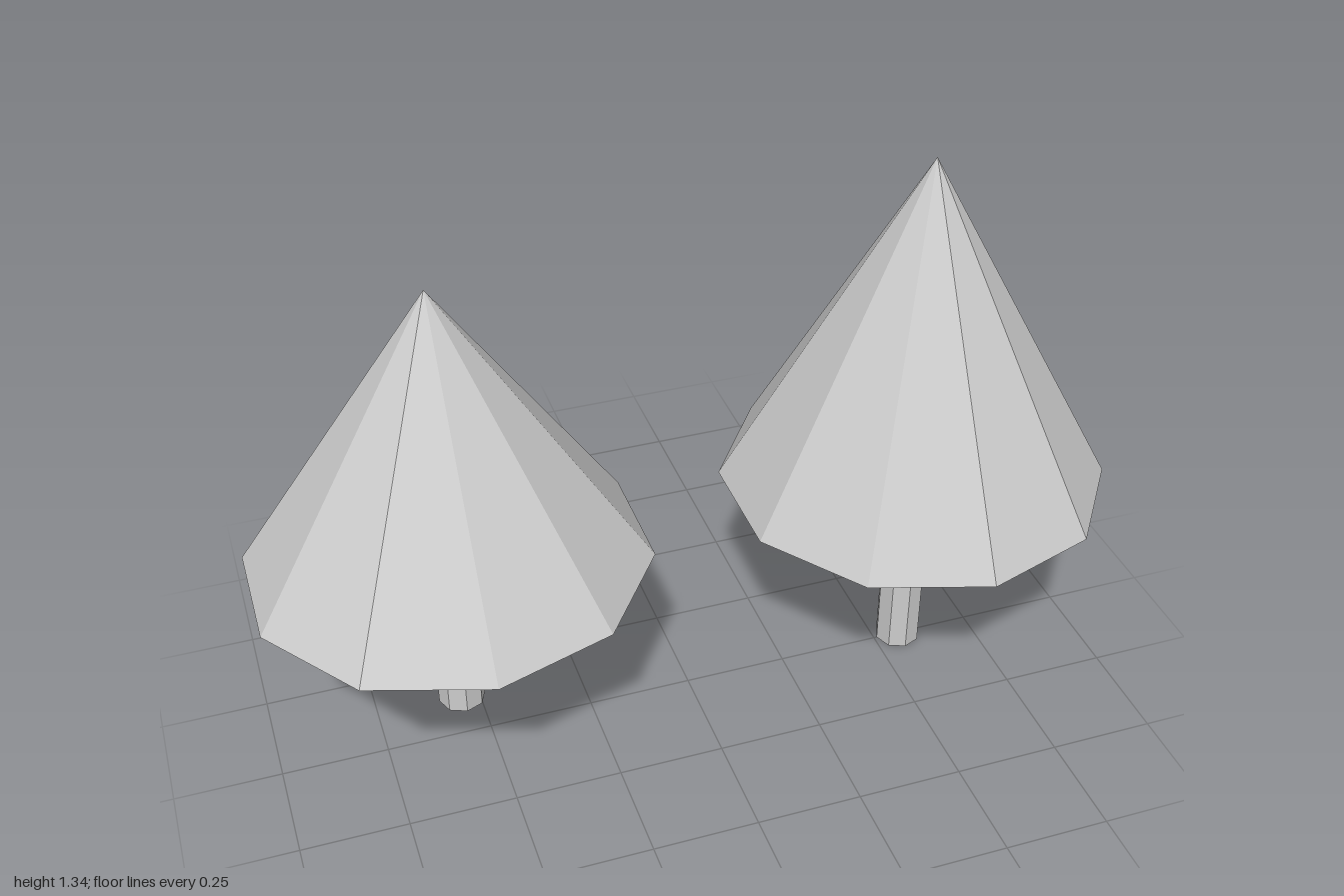
import * as THREE from 'three';

const material = new THREE.MeshStandardMaterial({ color: 0xcccccc, flatShading: true });

// One tree: eight-sided trunk under a ten-sided cone of foliage
function makeTree(name, x, base, eaves, top) {
  const tree = new THREE.Group();
  tree.name = name;

  const trunkHeight = eaves - base;
  const trunk = new THREE.Mesh(new THREE.CylinderGeometry(0.055, 0.055, trunkHeight, 8), material);
  trunk.name = 'trunk';
  trunk.position.y = base + trunkHeight / 2;

  const foliageHeight = top - eaves;
  const foliage = new THREE.Mesh(new THREE.ConeGeometry(0.46, foliageHeight, 10), material);
  foliage.name = 'foliage';
  foliage.position.y = eaves + foliageHeight / 2;

  tree.add(trunk, foliage);
  tree.position.x = x;
  return tree;
}

export function createModel() {
  const model = new THREE.Group();
  model.name = 'treePair';
  model.add(
    makeTree('shortTree', -0.5625, 0.117, 0.54, 1.225),
    makeTree('tallTree', 0.5625, 0, 0.512, 1.34),
  );
  return model;
}
